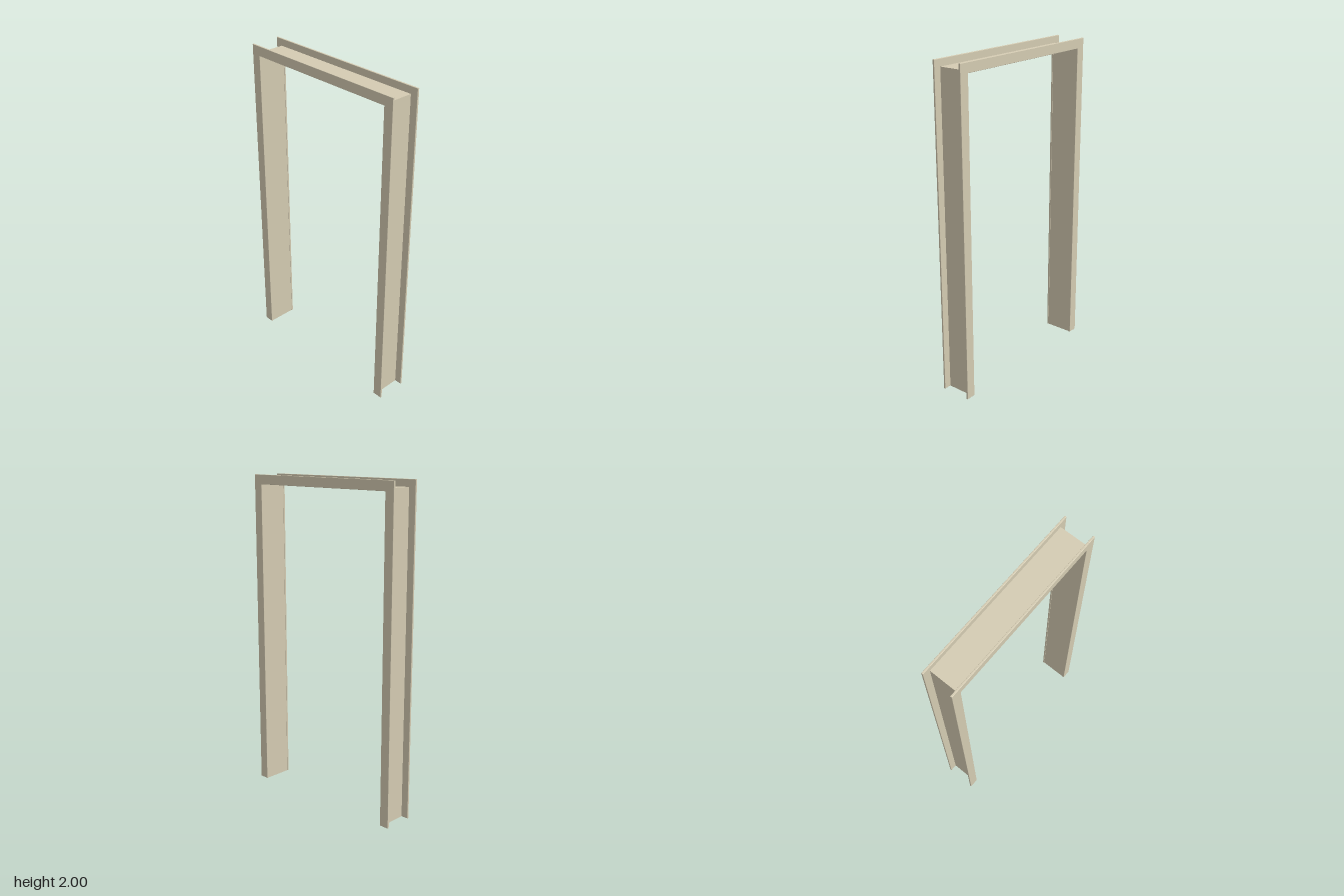
import * as THREE from 'three';

const OUTER = 0.557, INNER = 0.497;    // casing half widths
const TOP = 2, HEAD = 1.941;           // casing top and underside of its head
const BACK = 0.086, FACE = 0.0975;     // casing depth range
const JAMB_OUT = 0.512, JAMB_IN = 0.499, JAMB_TOP = 1.957, JAMB_HEAD = 1.944;
const BEVEL = 0.002;

export function createModel() {
  const group = new THREE.Group();
  const paint = new THREE.MeshStandardMaterial({ color: 0xd4cbb2 });
  paint.name = 'beige paint';

  const add = (name, geometry, x, y, z) => {
    const mesh = new THREE.Mesh(geometry, paint);
    mesh.name = name;
    mesh.position.set(x, y, z);
    group.add(mesh);
  };

  // Casing: flat U-shaped trim with softened edges, on both faces of the wall
  const outline = new THREE.Shape([
    [-OUTER, 0], [-INNER, 0], [-INNER, HEAD], [INNER, HEAD],
    [INNER, 0], [OUTER, 0], [OUTER, TOP], [-OUTER, TOP],
  ].map(([x, y]) => new THREE.Vector2(x, y)));
  const casing = new THREE.ExtrudeGeometry(outline, {
    depth: FACE - BACK - 2 * BEVEL,
    bevelThickness: BEVEL, bevelSize: BEVEL, bevelOffset: -BEVEL, bevelSegments: 2,
  });
  add('frontCasing', casing, 0, 0, BACK + BEVEL);
  add('backCasing', casing, 0, 0, -FACE + BEVEL);

  // Jamb lining: two thin uprights and a head board between the casings
  const depth = 2 * BACK + 0.004;
  const upright = new THREE.BoxGeometry(JAMB_OUT - JAMB_IN, JAMB_HEAD, depth);
  for (const [name, side] of [['leftJamb', 1], ['rightJamb', -1]]) {
    add(name, upright, side * (JAMB_OUT + JAMB_IN) / 2, JAMB_HEAD / 2, 0);
  }
  add('headJamb', new THREE.BoxGeometry(2 * JAMB_OUT, JAMB_TOP - JAMB_HEAD, depth),
    0, (JAMB_TOP + JAMB_HEAD) / 2, 0);

  return group;
}
